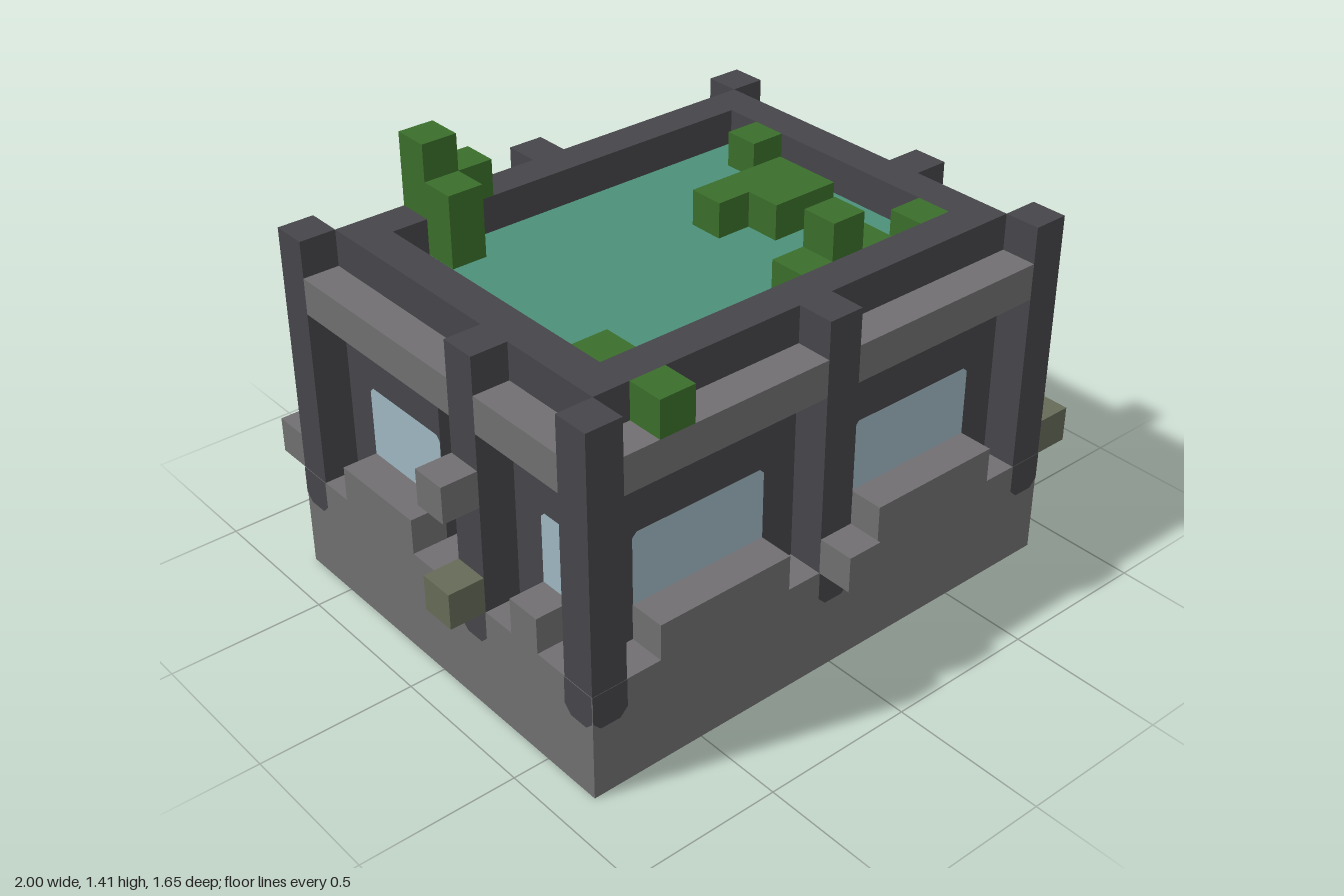
import * as THREE from 'three';

const U = 2 / 17; // one block

export function createModel() {
  const model = new THREE.Group();
  model.name = 'blockHouse';

  const mat = (name, color) => {
    const m = new THREE.MeshStandardMaterial({ color });
    m.name = name;
    return m;
  };
  const stone = mat('stone', 0x716f71);
  const dark = mat('darkStone', 0x464549);
  const moss = mat('mossyStone', 0x656b57);
  const glass = mat('glass', 0x9db6c1);
  const teal = mat('roofTeal', 0x4c9078);
  const leaf = mat('leaf', 0x3a6e2b);

  // Box from minimum to maximum corner, in blocks
  const box = (name, m, x0, x1, y0, y1, z0, z1, parent = model) => {
    const mesh = new THREE.Mesh(
      new THREE.BoxGeometry((x1 - x0) * U, (y1 - y0) * U, (z1 - z0) * U), m);
    mesh.position.set((x0 + x1) / 2 * U, (y0 + y1) / 2 * U, (z0 + z1) / 2 * U);
    mesh.name = name;
    parent.add(mesh);
    return mesh;
  };

  // Flat plate facing +z with clipped bottom and optional top corners
  const plate = (name, m, x0, x1, y0, y1, z, bottom, top, parent) => {
    const s = new THREE.Shape([
      [x0 + bottom, y0], [x1 - bottom, y0], [x1, y0 + bottom], [x1, y1 - top],
      [x1 - top, y1], [x0 + top, y1], [x0, y1 - top], [x0, y0 + bottom],
    ].map(([x, y]) => new THREE.Vector2(x * U, y * U)));
    const mesh = new THREE.Mesh(new THREE.ShapeGeometry(s), m);
    mesh.position.z = z * U + 0.002;
    mesh.name = name;
    parent.add(mesh);
  };

  // Foundation and wall core
  box('foundation', stone, -7.5, 7.5, 0, 3, -6, 6);
  box('wallCore', dark, -5.5, 6.5, 3, 9, -5, 5);

  // Right wall with doorway
  box('doorWallBack', dark, -6.5, -5.5, 3, 9, -5, -1);
  box('doorWallFront', dark, -6.5, -5.5, 3, 9, 1, 5);
  box('doorLintel', dark, -6.5, -5.5, 7, 9, -1, 1);
  box('doorPanel', moss, -5.53, -5.47, 3, 7, -1, 1);

  // Roof and parapet
  box('roof', teal, -5.5, 5.5, 8.95, 9.02, -4, 4);
  for (const s of [-1, 1]) {
    box('parapetLong', dark, -6.5, 6.5, 9, 10, Math.min(s * 4, s * 5), Math.max(s * 4, s * 5));
    box('parapetShort', dark, Math.min(s * 5.5, s * 6.5), Math.max(s * 5.5, s * 6.5), 9, 10, -4, 4);
  }

  // One side, modelled facing +z: openings with sills, ledges and pillar feet
  const side = (name, angle, outer, half, mid, openings) => {
    const g = new THREE.Group();
    g.name = name;
    g.rotation.y = angle;
    for (const [a, b] of openings) {
      box('sill', stone, a, b, 3, 4, outer - 1, outer, g);
      plate('window', glass, a, b, 4, 6, outer - 1, 0, 0.13, g);
    }
    box('ledge', stone, -half + 1, mid - 0.5, 8, 9, outer - 1, outer, g);
    box('ledge', stone, mid + 0.5, half - 1, 8, 9, outer - 1, outer, g);
    box('middlePillar', dark, mid - 0.5, mid + 0.5, 3, 10, outer - 1, outer, g);
    for (const c of [-half + 0.5, mid, half - 0.5]) {
      plate('pillarFoot', dark, c - 0.5, c + 0.5, 2, 3, outer, 0.22, 0, g);
    }
    model.add(g);
  };
  const pair = [[-5.5, -1.5], [1.5, 5.5]];
  side('frontSide', 0, 6, 7.5, 0, pair);
  side('backSide', Math.PI, 6, 7.5, 0, pair);
  side('leftSide', Math.PI / 2, 7.5, 6, -1.5, [[-4, -3], [0, 4]]);
  side('rightSide', -Math.PI / 2, 7.5, 6, 1.5, [[-4, -1], [3, 4]]);

  // Corner pillars
  for (const x of [-7, 7]) {
    for (const z of [-5.5, 5.5]) {
      box('cornerPillar', dark, x - 0.5, x + 0.5, 3, 10, z - 0.5, z + 0.5);
    }
  }

  // Blocks jutting out of the walls: centre x, base y, centre z
  const juts = [
    [stone, 0, 3, 6.5], [stone, -7, 3, -6.5], [stone, 7, 3, -6.5],
    [stone, 8, 3, -5.5], [stone, -8, 6, 1.5],
    [moss, 8, 3, 5.5], [moss, -8, 3, 1.5],
  ];
  for (const [m, x, y, z] of juts) {
    box('juttingBlock', m, x - 0.5, x + 0.5, y, y + 1, z - 0.5, z + 0.5);
  }

  // Roof plants: x range, y range, z range
  const plants = [
    [-4.5, -3.5, 10, 12, -5, -4], [-3.5, -2.5, 10, 11, -5, -4], [-4.5, -3.5, 9, 11, -4, -3],
    [1.5, 4.5, 9, 10, -1, 0], [2.5, 4.5, 9, 10, 0, 1],
    [0.5, 3.5, 9, 10, 3, 4], [1.5, 2.5, 10, 11, 3, 4],
    [4.5, 5.5, 9, 10, 3, 4], [4.5, 5.5, 9, 10, -3, -2],
    [-5.5, -4.5, 9, 10, 3, 4], [-5.5, -4.5, 9, 10, 5, 6],
  ];
  for (const p of plants) box('plant', leaf, ...p);

  return model;
}
